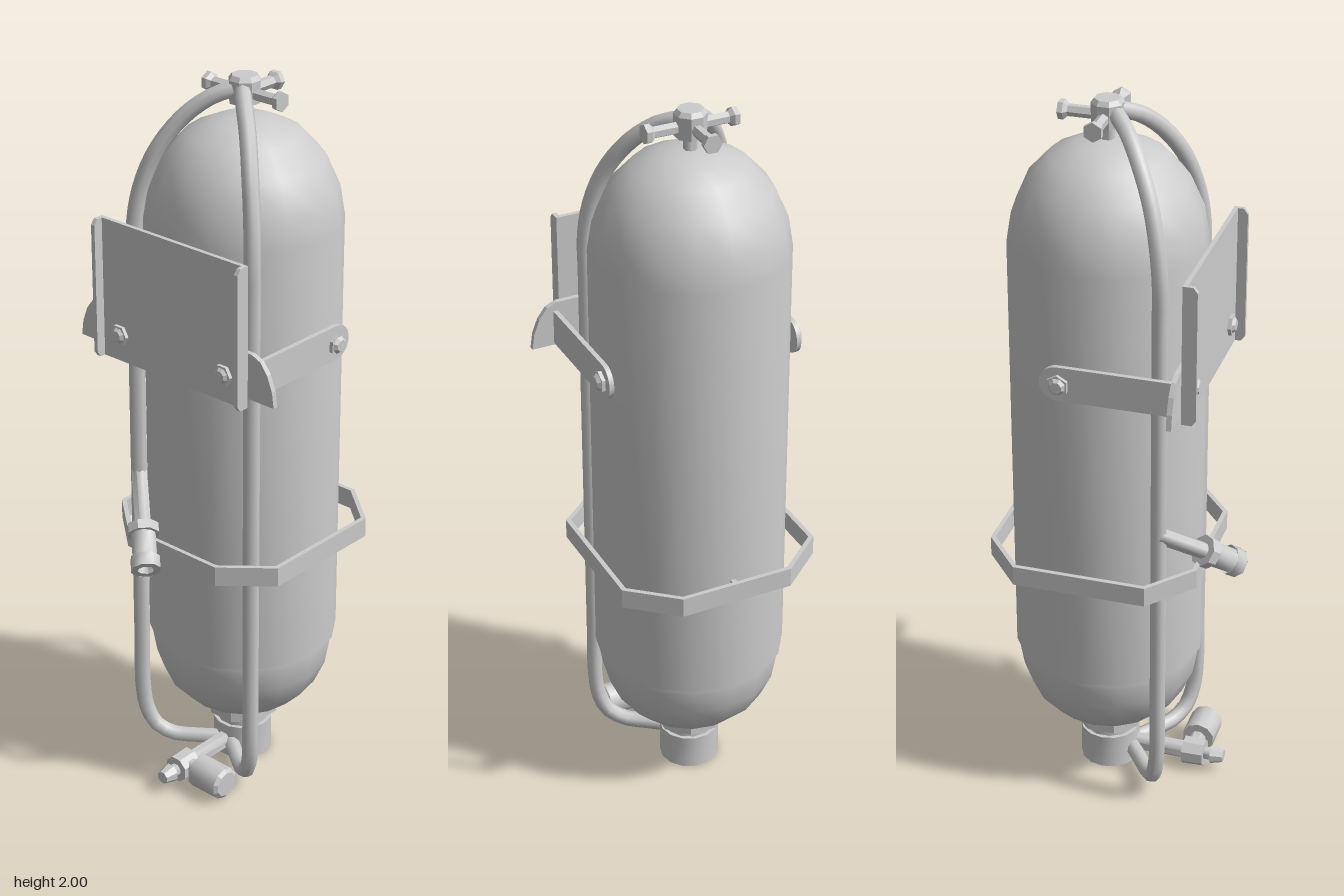
import * as THREE from 'three';
import { toCreasedNormals } from 'three/addons/utils/BufferGeometryUtils.js';

const mat = new THREE.MeshStandardMaterial({ color: 0xcccccc, side: THREE.DoubleSide });
const TZ = -0.055; // tank axis
const V = (x, y, z) => new THREE.Vector3(x, y, z);

export function createModel() {
  const model = new THREE.Group();

  const add = (name, geo, crease = 0.7) => {
    const mesh = new THREE.Mesh(toCreasedNormals(geo, crease), mat);
    mesh.name = name;
    model.add(mesh);
    return mesh;
  };
  // Cylinder or cone between two points
  const rod = (name, a, b, r0, r1, sides, crease = 0.9, open = false) => {
    const geo = new THREE.CylinderGeometry(r1, r0, a.distanceTo(b), sides, 1, open);
    geo.rotateY(Math.PI / sides);
    const mesh = add(name, geo, crease);
    mesh.position.copy(a).lerp(b, 0.5);
    mesh.quaternion.setFromUnitVectors(V(0, 1, 0), b.clone().sub(a).normalize());
    return mesh;
  };
  const lathe = (name, pts, sides, crease) => {
    const mesh = add(name, new THREE.LatheGeometry(pts.map(p => new THREE.Vector2(...p)), sides), crease);
    mesh.position.z = TZ;
    return mesh;
  };
  const extrude = (shape, depth) =>
    new THREE.ExtrudeGeometry(shape, { depth, bevelEnabled: false, curveSegments: 6 });
  const polygon = pts => new THREE.Shape(pts.map(p => new THREE.Vector2(...p)));

  // Tank: upper shell with an overlapping rim above the lower dome
  lathe('tankShell', [[0.248, 0.4], [0.26, 0.405], [0.26, 1.62], [0.247, 1.7], [0.21, 1.785],
    [0.15, 1.85], [0.08, 1.883], [0, 1.895]], 16, 0.75);
  lathe('tankLowerDome', [[0, 0.155], [0.1, 0.165], [0.16, 0.198], [0.21, 0.25],
    [0.241, 0.32], [0.252, 0.385], [0.252, 0.405]], 16, 0.75);

  // Bottom outlet
  rod('outletNut', V(0, 0.128, TZ), V(0, 0.168, TZ), 0.1, 0.1, 8, 0.3);
  rod('outletNeck', V(0, 0.09, TZ), V(0, 0.13, TZ), 0.073, 0.073, 12);
  rod('outletBody', V(0, 0, TZ), V(0, 0.1, TZ), 0.083, 0.083, 14);

  // Manifold at the front of the outlet
  rod('manifoldShaft', V(0, 0.048, 0), V(0, 0.048, 0.2), 0.025, 0.025, 8);
  rod('manifoldCollar', V(0, 0.048, 0.165), V(0, 0.048, 0.225), 0.04, 0.038, 8, 0.3);
  rod('manifoldTip', V(0, 0.048, 0.22), V(0, 0.048, 0.255), 0.018, 0.018, 8);
  rod('manifoldCap', V(0, 0.048, 0.245), V(0, 0.048, 0.28), 0.027, 0.018, 8, 0.3);
  rod('manifoldSideCap', V(0.055, 0.053, 0.19), V(0.15, 0.053, 0.19), 0.046, 0.046, 10);
  rod('manifoldSideCapEnd', V(0.15, 0.053, 0.19), V(0.158, 0.053, 0.19), 0.046, 0.036, 10, 0.3);
  rod('manifoldSideStem', V(0, 0.05, 0.19), V(0.06, 0.053, 0.19), 0.024, 0.024, 8);

  // Top valve with three handles
  rod('valvePost', V(0, 1.87, TZ), V(0, 1.94, TZ), 0.018, 0.018, 8);
  rod('valveBody', V(0, 1.928, TZ), V(0, 1.988, TZ), 0.041, 0.043, 8, 0.3);
  rod('valveTop', V(0, 1.988, TZ), V(0, 2, TZ), 0.043, 0.034, 8, 0.3);
  for (const [dx, dz] of [[1, 0], [-1, 0], [0, -1]]) {
    const at = d => V(dx * d, 1.955, TZ + dz * d);
    rod('valveHandle', at(0.03), at(0.112), 0.016, 0.016, 6, 0.3);
    rod('valveHandleFlare', at(0.102), at(0.112), 0.016, 0.026, 6, 0.3);
    rod('valveHandleCap', at(0.112), at(0.126), 0.026, 0.026, 6, 0.3);
  }

  for (const s of [1, -1]) {
    // Side pipe from the valve down to the outlet
    const path = new THREE.CatmullRomCurve3([
      [0.015, 1.965, -0.03], [0.055, 1.945, 0.008], [0.11, 1.89, 0.056], [0.16, 1.8, 0.103],
      [0.19, 1.7, 0.13], [0.202, 1.6, 0.142], [0.202, 1.5, 0.142], [0.202, 0.4, 0.142],
      [0.202, 0.2, 0.142], [0.195, 0.13, 0.136], [0.172, 0.075, 0.122], [0.13, 0.048, 0.095],
      [0.08, 0.045, 0.06], [0, 0.045, 0]].map(([x, y, z]) => V(s * x, y, z)));
    add('sidePipe', new THREE.TubeGeometry(path, 72, 0.022, 8), 1);

    // Bracket arm with a rounded rear end
    const arm = new THREE.Shape();
    arm.moveTo(-0.205, 1.28);
    arm.lineTo(0.108, 1.28);
    arm.absarc(0.108, 1.3275, 0.0475, -Math.PI / 2, Math.PI / 2);
    arm.lineTo(-0.205, 1.375);
    const armGeo = extrude(arm, 0.013);
    armGeo.rotateY(Math.PI / 2);
    armGeo.translate(s > 0 ? 0.26 : -0.273, 0, 0);
    add('bracketArm', armGeo, 0.5);
    rod('armBolt', V(s * 0.268, 1.325, -0.105), V(s * 0.283, 1.325, -0.105), 0.03, 0.03, 6, 0.3);
    rod('armBoltHead', V(s * 0.283, 1.325, -0.105), V(s * 0.292, 1.325, -0.105), 0.024, 0.016, 8, 0.3);

    // Curved wing behind the plate
    const wing = polygon([[0.125, 1.275], [0.335, 1.275], [0.329, 1.317], [0.313, 1.358],
      [0.29, 1.388], [0.262, 1.4], [0.125, 1.4]].map(([x, y]) => [s * x, y]));
    const wingGeo = extrude(wing, 0.014);
    wingGeo.translate(0, 0, 0.197);
    add('bracketWing', wingGeo, 0.2);

    // Plate side lip with chamfered front corners, and plate bolt
    const lip = polygon([[-0.213, 1.25], [-0.24, 1.25], [-0.251, 1.265],
      [-0.251, 1.62], [-0.24, 1.635], [-0.213, 1.635]]);
    const lipGeo = extrude(lip, 0.012);
    lipGeo.rotateY(Math.PI / 2);
    lipGeo.translate(s > 0 ? 0.238 : -0.25, 0, 0);
    add('plateLip', lipGeo, 0.2);
    rod('plateBolt', V(s * 0.18, 1.325, 0.222), V(s * 0.18, 1.325, 0.234), 0.029, 0.029, 6, 0.3);
    rod('plateBoltHead', V(s * 0.18, 1.325, 0.234), V(s * 0.18, 1.325, 0.242), 0.022, 0.015, 8, 0.3);
  }

  // Front plate
  const plate = add('frontPlate', new THREE.BoxGeometry(0.5, 0.385, 0.012));
  plate.position.set(0, 1.4425, 0.218);

  // Eight-sided strap around the tank
  const ring = (x, cx, zBack, zFront, c) => [[cx, zBack], [x, zBack + c], [x, zFront - c], [cx, zFront],
    [-cx, zFront], [-x, zFront - c], [-x, zBack + c], [-cx, zBack]];
  const strap = polygon(ring(0.284, 0.158, -0.342, 0.235, 0.107));
  strap.holes.push(polygon(ring(0.271, 0.153, -0.33, 0.223, 0.1)));
  const strapGeo = extrude(strap, 0.055);
  strapGeo.rotateX(Math.PI / 2);
  strapGeo.translate(0, 0.763, 0);
  add('strap', strapGeo, 0.2);
  const tab = add('strapSpacer', new THREE.BoxGeometry(0.013, 0.05, 0.03));
  tab.position.set(0, 0.735, -0.322);

  // Angled hose nozzle on the right-hand pipe
  const start = V(-0.205, 0.885, 0.14), end = V(-0.02, 0.718, 0.31);
  const along = t => start.clone().lerp(end, t);
  rod('nozzlePipe', along(0), along(0.65), 0.023, 0.023, 8);
  rod('nozzleCollar', along(0.56), along(0.65), 0.044, 0.044, 8, 0.3);
  rod('nozzleBody', along(0.65), along(0.9), 0.034, 0.034, 10);
  rod('nozzleRim', along(0.88), along(1), 0.041, 0.041, 8, 0.9, true);
  rod('nozzleBore', along(0.9), along(1), 0.022, 0.022, 8, 0.9, true);
  const face = add('nozzleFace', new THREE.RingGeometry(0.022, 0.041, 8));
  face.position.copy(end);
  face.quaternion.setFromUnitVectors(V(0, 0, 1), end.clone().sub(start).normalize());

  return model;
}
